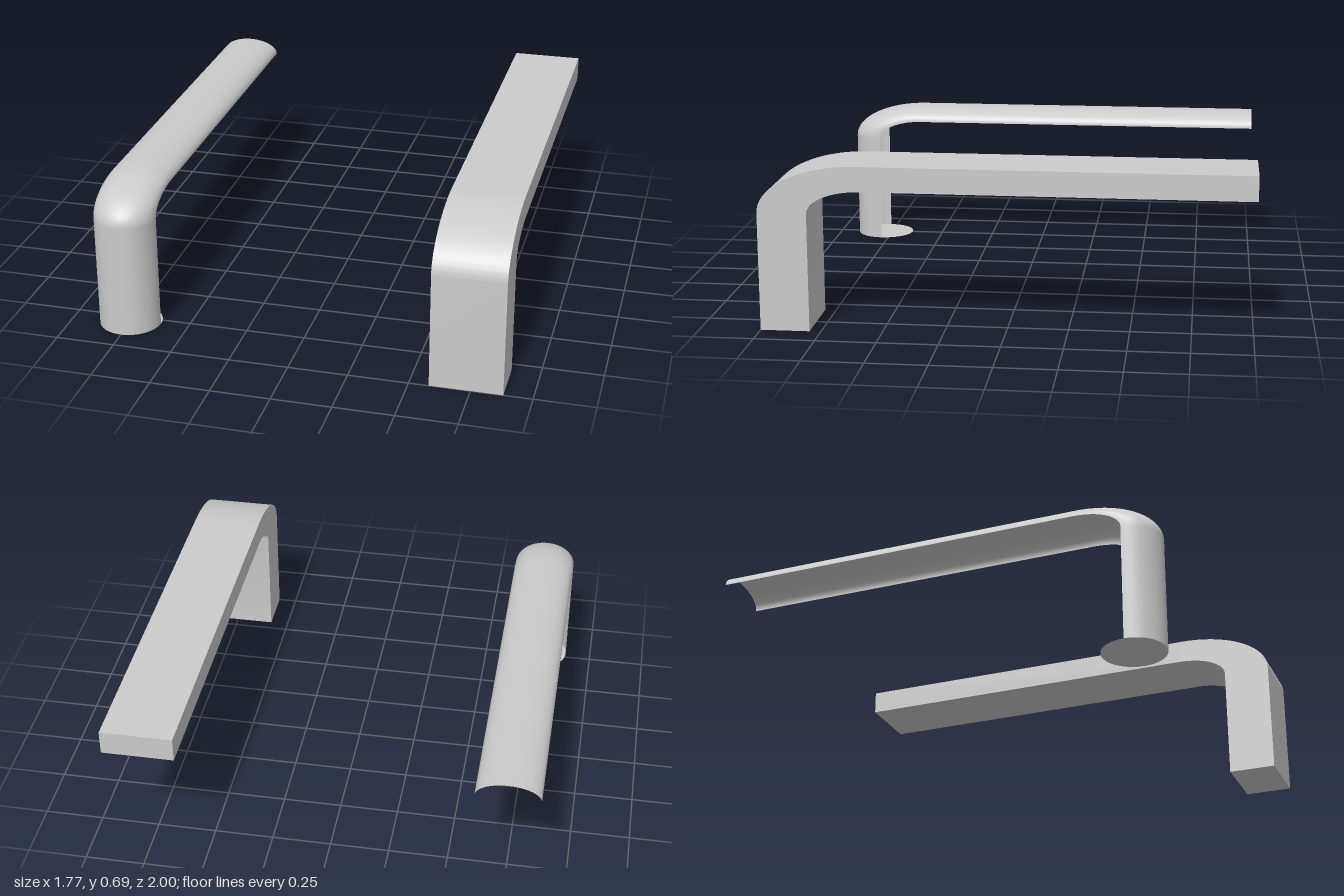
import * as THREE from 'three';
import { ParametricGeometry } from 'three/addons/geometries/ParametricGeometry.js';
import { toCreasedNormals } from 'three/addons/utils/BufferGeometryUtils.js';

const BEND_Y = 0.49; // height where both bends begin
const BEND_STEPS = 24;

// Solid rectangular bar: upright leg, elliptical bend, long flat arm
function makeBar(material) {
  const profile = new THREE.Shape();
  profile.moveTo(1, 0);
  profile.lineTo(1, BEND_Y);
  profile.absellipse(0.6, BEND_Y, 0.4, 0.2, 0, Math.PI / 2, false);
  profile.lineTo(-1, 0.69);
  profile.lineTo(-1, 0.587);
  profile.lineTo(0.58, 0.587);
  profile.absellipse(0.58, BEND_Y, 0.217, 0.097, Math.PI / 2, 0, true);
  profile.lineTo(0.797, 0);
  const geometry = new THREE.ExtrudeGeometry(profile, {
    depth: 0.3, bevelEnabled: false, curveSegments: BEND_STEPS,
  });
  // profile x becomes z, depth runs across x
  geometry.rotateY(-Math.PI / 2).translate(0.882, 0, 0);
  const bar = new THREE.Mesh(toCreasedNormals(geometry, Math.PI / 6), material);
  bar.name = 'rectangularBar';
  return bar;
}

// Open half-round channel following the same bend, with a round foot
function makeChannel(material) {
  const channel = new THREE.Group();
  channel.name = 'roundChannel';
  const centreX = -0.752, radius = 0.132;

  // Each row: rim position (z, y) and bulge of the arch (dz, dy)
  const rows = [{ z: 0.78, y: 0, dz: radius, dy: 0 }];
  for (let i = 0; i <= BEND_STEPS; i++) {
    const t = (i / BEND_STEPS) * Math.PI / 2;
    const c = Math.cos(t), s = Math.sin(t);
    rows.push({ z: 0.58 + 0.2 * c, y: BEND_Y + 0.089 * s, dz: radius * c, dy: 0.066 * s });
  }
  rows.push({ ...rows[rows.length - 1], z: -1 });

  const stacks = rows.length - 1;
  const geometry = new ParametricGeometry((u, v, target) => {
    const row = rows[THREE.MathUtils.clamp(Math.round(v * stacks), 0, stacks)];
    const bulge = Math.sin(u * Math.PI);
    target.set(
      centreX - radius * Math.cos(u * Math.PI),
      row.y + row.dy * bulge,
      row.z + row.dz * bulge,
    );
  }, 32, stacks);
  geometry.computeVertexNormals();
  const shell = new THREE.Mesh(geometry, material);
  shell.name = 'channelShell';

  const foot = new THREE.Mesh(new THREE.CircleGeometry(radius, 48), material);
  foot.name = 'channelFoot';
  foot.rotation.x = Math.PI / 2;
  foot.position.set(centreX, 0, 0.78);

  channel.add(shell, foot);
  return channel;
}

export function createModel() {
  const model = new THREE.Group();
  model.name = 'bentArms';
  const solid = new THREE.MeshStandardMaterial({ color: 0xcccccc });
  const thin = new THREE.MeshStandardMaterial({ color: 0xcccccc, side: THREE.DoubleSide });
  model.add(makeBar(solid), makeChannel(thin));
  return model;
}
